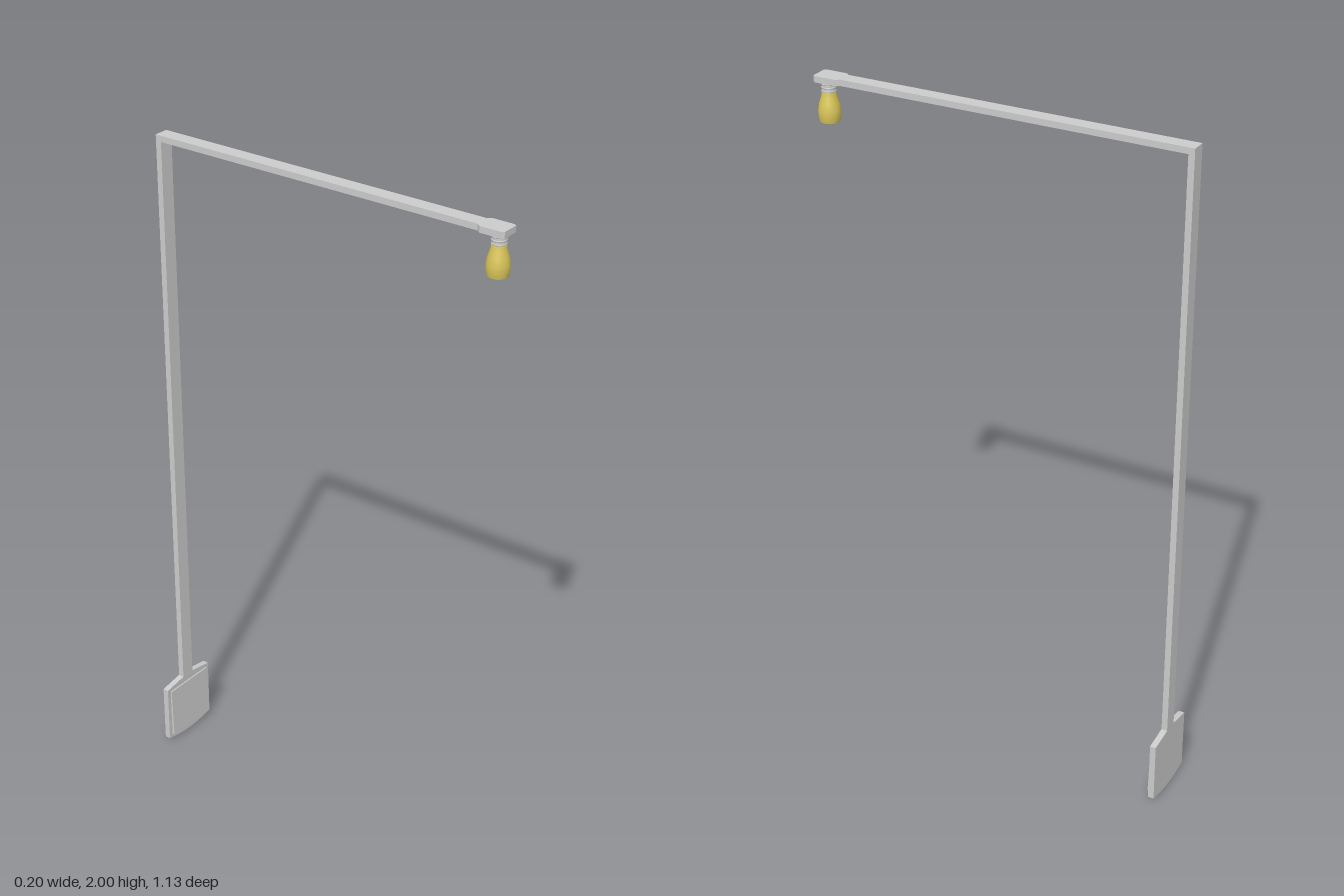
import * as THREE from 'three';

export function createModel() {
  const model = new THREE.Group();
  const grey = new THREE.MeshStandardMaterial({ color: 0xcccccc, flatShading: true });
  const smooth = new THREE.MeshStandardMaterial({ color: 0xcccccc });
  const yellow = new THREE.MeshStandardMaterial({ color: 0xd8c558 });
  const T = 0.018, W = 0.022, BACK = -0.566, TIP = 0.566, BULB_Z = 0.535;

  const add = (name, geometry, material, x = 0, y = 0, z = 0) => {
    const mesh = new THREE.Mesh(geometry, material);
    mesh.name = name;
    mesh.position.set(x, y, z);
    model.add(mesh);
    return mesh;
  };
  const extrude = (shape, depth) =>
    new THREE.ExtrudeGeometry(shape, { depth, bevelEnabled: false, curveSegments: 12 });

  // Back plate with sloping shoulders and a bowed lower edge
  const plate = new THREE.Shape();
  plate.moveTo(-0.098, 0.012);
  plate.quadraticCurveTo(0, -0.012, 0.098, 0.012);
  plate.lineTo(0.098, 0.195);
  plate.lineTo(W, 0.207);
  plate.lineTo(-W, 0.207);
  plate.lineTo(-0.098, 0.195);
  add('backPlate', extrude(plate, T), grey, 0, 0, BACK);

  // Raised panel on the plate, thicker toward its lower edge
  const panel = new THREE.BoxGeometry(0.17, 0.162, 0.01);
  const p = panel.attributes.position;
  for (let i = 0; i < p.count; i++) {
    if (p.getZ(i) > 0 && p.getY(i) > 0) p.setZ(i, 0.001);
  }
  panel.computeVertexNormals();
  add('frontPanel', panel, grey, 0, 0.104, BACK + T + 0.003);

  // Upright post
  add('post', new THREE.BoxGeometry(W * 2, 1.795, T), grey, 0, 0.205 + 1.795 / 2, BACK + T / 2);

  // Overhead arm, flaring to a wider mount at the tip (shape y runs along z)
  const half = [[W, BACK + T], [W, 0.483], [0.031, 0.495], [0.031, TIP - 0.007], [0.026, TIP]];
  const outline = [...half, ...half.map(([x, z]) => [-x, z]).reverse()];
  const arm = extrude(new THREE.Shape(outline.map(([x, z]) => new THREE.Vector2(x, z))), T);
  arm.rotateX(Math.PI / 2);
  add('arm', arm, grey, 0, 2, 0);

  // Lamp socket with thread rings
  add('socket', new THREE.CylinderGeometry(0.019, 0.019, 0.036, 24), smooth, 0, 1.965, BULB_Z);
  for (let i = 0; i < 3; i++) {
    const ring = new THREE.TorusGeometry(0.0185, 0.0025, 6, 24);
    ring.rotateX(Math.PI / 2);
    add('socketRing', ring, smooth, 0, 1.955 + i * 0.01, BULB_Z);
  }

  // Bulb, flaring downward to a nearly flat end
  const sides = [[0.027, 1.866], [0.029, 1.868], [0.0315, 1.885], [0.0315, 1.9],
    [0.028, 1.92], [0.022, 1.938], [0.02, 1.95]];
  const bulb = new THREE.LatheGeometry(sides.map(([r, y]) => new THREE.Vector2(r, y)), 32);
  add('bulb', bulb, yellow, 0, 0, BULB_Z);
  const end = new THREE.CircleGeometry(0.027, 32);
  end.rotateX(Math.PI / 2);
  add('bulbEnd', end, yellow, 0, 1.866, BULB_Z);
  const collar = new THREE.CircleGeometry(0.02, 32);
  collar.rotateX(-Math.PI / 2);
  add('bulbTop', collar, yellow, 0, 1.95, BULB_Z);

  return model;
}
